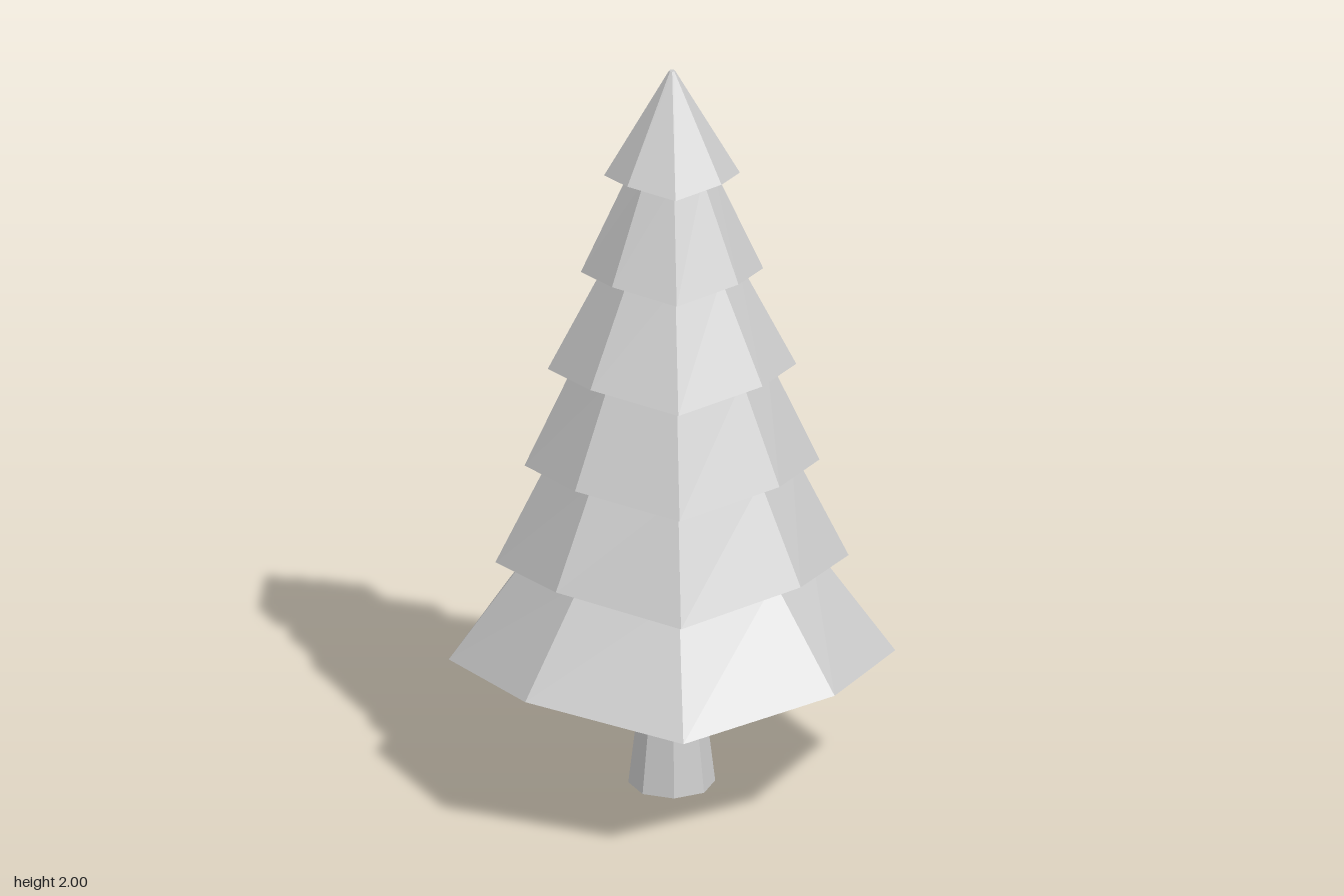
import * as THREE from 'three';

const SIDES = 8;
const material = new THREE.MeshStandardMaterial({ color: 0xcccccc, flatShading: true });

// One eight-sided ring; odd (diagonal) corners may have their own radius and height.
function ring(r, y, rOdd = r, yOdd = y) {
  return Array.from({ length: SIDES }, (_, i) => {
    const a = (i / SIDES) * Math.PI * 2;
    const odd = i % 2 === 1;
    const radius = odd ? rOdd : r;
    return [Math.sin(a) * radius, odd ? yOdd : y, Math.cos(a) * radius];
  });
}

// Skins rings listed from bottom to top, optionally capping the ends.
function skin(name, rings, capBottom, capTop) {
  const pos = [];
  const tri = (a, b, c) => pos.push(...a, ...b, ...c);
  for (let k = 0; k < rings.length - 1; k++) {
    const lo = rings[k], hi = rings[k + 1];
    for (let i = 0; i < SIDES; i++) {
      const j = (i + 1) % SIDES;
      tri(lo[i], lo[j], hi[j]);
      tri(lo[i], hi[j], hi[i]);
    }
  }
  const first = rings[0], last = rings[rings.length - 1];
  for (let i = 1; i < SIDES - 1; i++) {
    if (capBottom) tri(first[0], first[i + 1], first[i]);
    if (capTop) tri(last[0], last[i], last[i + 1]);
  }
  const geo = new THREE.BufferGeometry();
  geo.setAttribute('position', new THREE.Float32BufferAttribute(pos, 3));
  geo.computeVertexNormals();
  const mesh = new THREE.Mesh(geo, material);
  mesh.name = name;
  return mesh;
}

export function createModel() {
  const group = new THREE.Group();
  group.name = 'pineTree';

  // Trunk with a narrow waist, set slightly back
  const trunk = skin('trunk', [ring(0.112, 0), ring(0.088, 0.2), ring(0.106, 0.4)], true, true);
  trunk.position.z = -0.012;
  group.add(trunk);

  // Branch tiers: rim radius, drooping corner height, raised corner height, neck radius, neck height
  const tiers = [
    [0.575, 0.36, 0.41, 0.38, 0.395],
    [0.455, 0.63, 0.68, 0.355, 0.67],
    [0.38, 0.90, 0.94, 0.307, 0.935],
    [0.32, 1.17, 1.205, 0.243, 1.20],
    [0.235, 1.44, 1.467, 0.17, 1.465],
    [0.175, 1.71, 1.73, 0.106, 1.727],
  ];
  tiers.forEach(([r, low, high, neckR, neckY], i) => {
    const next = tiers[i + 1];
    const top = next ? ring(next[3], next[4]) : ring(0.008, 2);
    // Underside slopes from the neck out to the rim, then the boughs rise to the next neck
    group.add(skin(`branchTier${i + 1}`,
      [ring(neckR, neckY), ring(r, low, r * 0.98, high), top], i === 0, !next));
  });
  return group;
}
